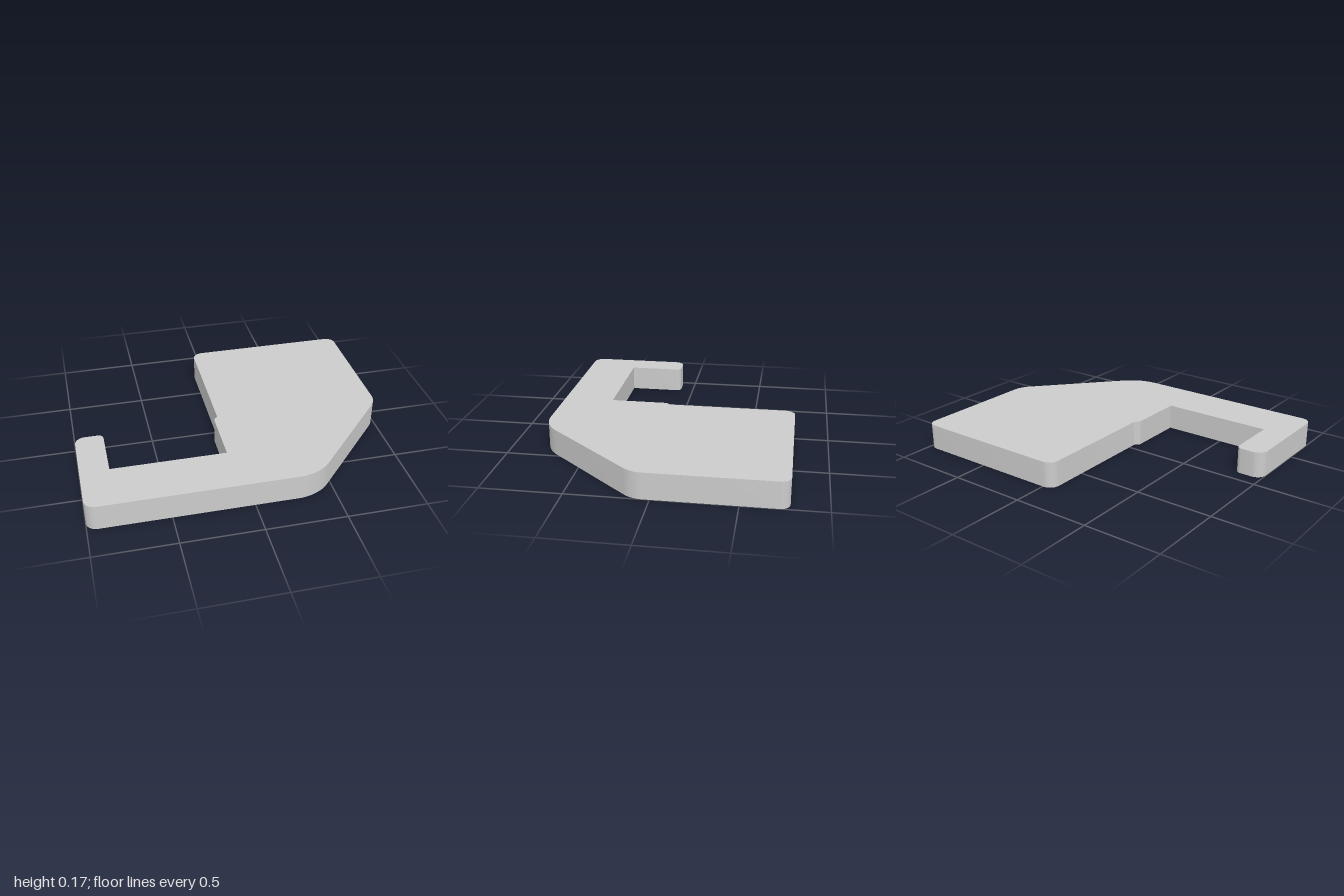
import * as THREE from 'three';
import { toCreasedNormals } from 'three/addons/utils/BufferGeometryUtils.js';

const THICKNESS = 0.165;

// Outline corners as [x, z, fillet radius]; radius 0 stays sharp
const CORNERS = [
  [-0.073, -0.78, 0.065],
  [1, -0.78, 0.06],
  [1, 0.106, 0.17],
  [0.394, 0.778, 0.29],
  [-1, 0.778, 0.065],
  [-1, 0.09, 0.065],
  [-0.82, 0.09, 0.035],
  [-0.82, 0.45, 0],
  [-0.1, 0.45, 0],
  [-0.1, 0.08, 0.03],
  [-0.073, 0.054, 0.02],
];

// Closed shape whose corners are rounded by near-circular curves
function filletedShape(corners) {
  const points = corners.map(([x, z]) => new THREE.Vector2(x, -z));
  const n = points.length;
  const shape = new THREE.Shape();
  points.forEach((p, i) => {
    const r = corners[i][2];
    const back = points[(i + n - 1) % n].clone().sub(p).normalize();
    const ahead = points[(i + 1) % n].clone().sub(p).normalize();
    const turn = Math.PI - Math.acos(back.dot(ahead));
    const reach = r * Math.tan(turn / 2);
    const handle = reach - (4 / 3) * Math.tan(turn / 4) * r;
    const on = (dir, d) => p.clone().addScaledVector(dir, d);
    const start = on(back, reach);
    if (i === 0) shape.moveTo(start.x, start.y);
    else shape.lineTo(start.x, start.y);
    if (r > 0) {
      const c1 = on(back, handle), c2 = on(ahead, handle), end = on(ahead, reach);
      shape.bezierCurveTo(c1.x, c1.y, c2.x, c2.y, end.x, end.y);
    }
  });
  shape.closePath();
  return shape;
}

export function createModel() {
  const group = new THREE.Group();
  group.name = 'hookPlate';

  // Flat plate with a hooked arm, laid down so its thickness runs up y
  const geometry = new THREE.ExtrudeGeometry(filletedShape(CORNERS), {
    depth: THICKNESS,
    bevelEnabled: false,
    curveSegments: 12,
  });
  geometry.rotateX(-Math.PI / 2);

  const plate = new THREE.Mesh(
    toCreasedNormals(geometry, Math.PI / 6),
    new THREE.MeshStandardMaterial({ color: 0xcccccc })
  );
  plate.name = 'plate';
  group.add(plate);
  return group;
}
